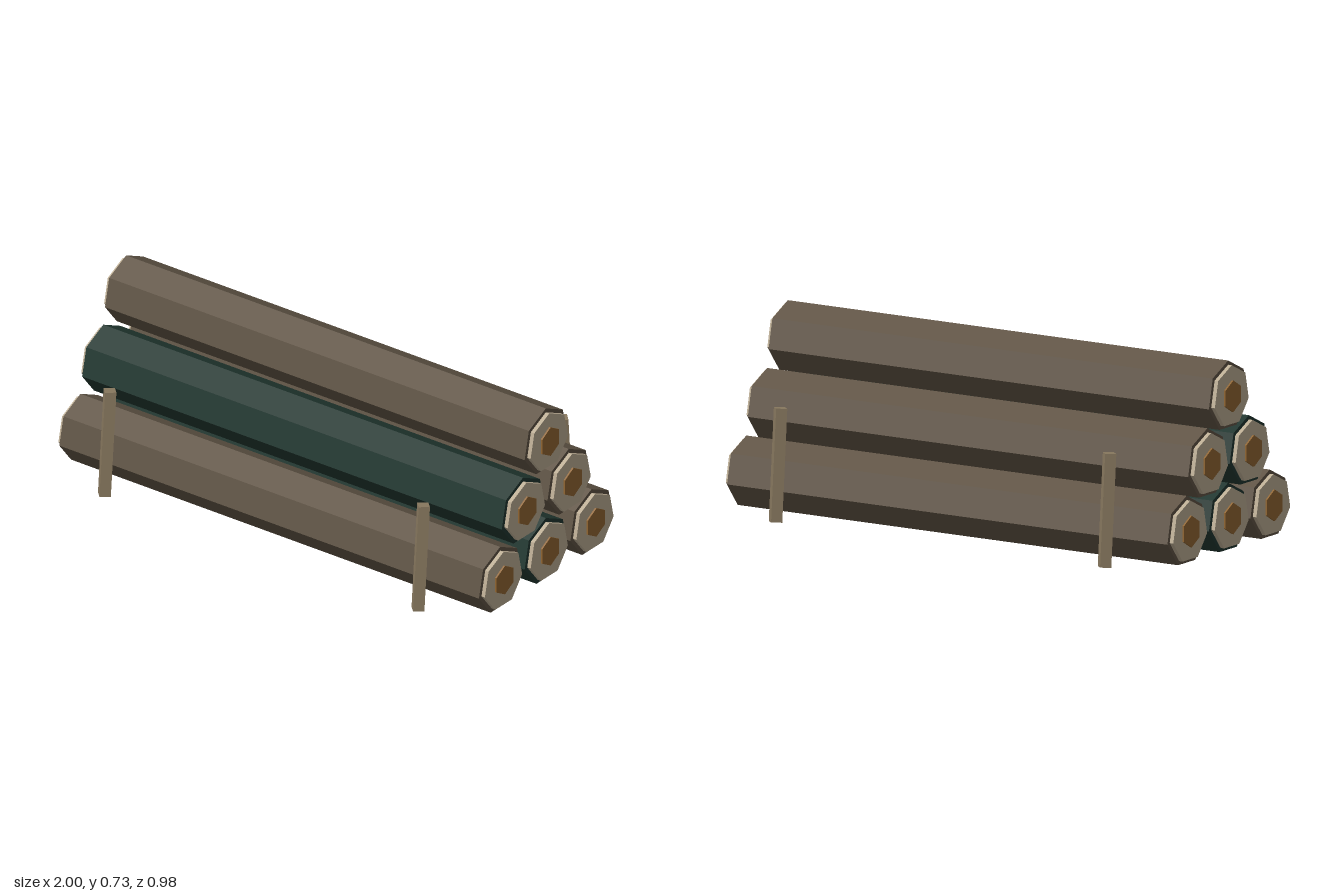
import * as THREE from 'three';

const material = (color) => new THREE.MeshStandardMaterial({ color, flatShading: true });

// Prism lying along x with one corner pointing up
function prism(radius, length, sides) {
  const geometry = new THREE.CylinderGeometry(radius, radius, length, sides, 1, false, Math.PI / 2);
  return geometry.rotateZ(Math.PI / 2);
}

export function createModel() {
  const model = new THREE.Group();
  model.name = 'logPile';

  const bark = material(0x5f5344);
  const mossyBark = material(0x20362f);
  const cutWood = material(0xbbac93);
  const heartwood = material(0x906531);
  const stakeWood = material(0x8a7a60);

  const barkGeometry = prism(0.133, 1.954, 7);
  const cutGeometry = prism(0.117, 1.986, 7);
  const heartGeometry = prism(0.06, 2, 6);

  const add = (parent, name, geometry, mat) => {
    const mesh = new THREE.Mesh(geometry, mat);
    mesh.name = name;
    parent.add(mesh);
    return mesh;
  };

  // Stacked logs: [y, z, mossy]
  const logs = [
    [0.137, -0.28, false], [0.137, 0, true], [0.137, 0.28, false],
    [0.368, -0.14, false], [0.368, 0.14, true],
    [0.6, 0, false],
  ];
  logs.forEach(([y, z, mossy], i) => {
    const log = new THREE.Group();
    log.name = `log${i + 1}`;
    log.position.set(0, y, z);
    add(log, 'bark', barkGeometry, mossy ? mossyBark : bark);
    // Stepped ends: pale cut wood, then the darker core
    add(log, 'cutEnds', cutGeometry, cutWood);
    add(log, 'heartwood', heartGeometry, heartwood);
    model.add(log);
  });

  // Stakes leaning inwards on both sides
  const stakeGeometry = new THREE.CylinderGeometry(0.03, 0.03, 0.427, 4);
  for (const x of [-0.73, 0.73]) {
    for (const side of [-1, 1]) {
      const stake = add(model, 'stake', stakeGeometry, stakeWood);
      stake.position.set(x, 0.216, side * 0.441);
      stake.rotation.x = -side * 0.08;
    }
  }

  return model;
}
